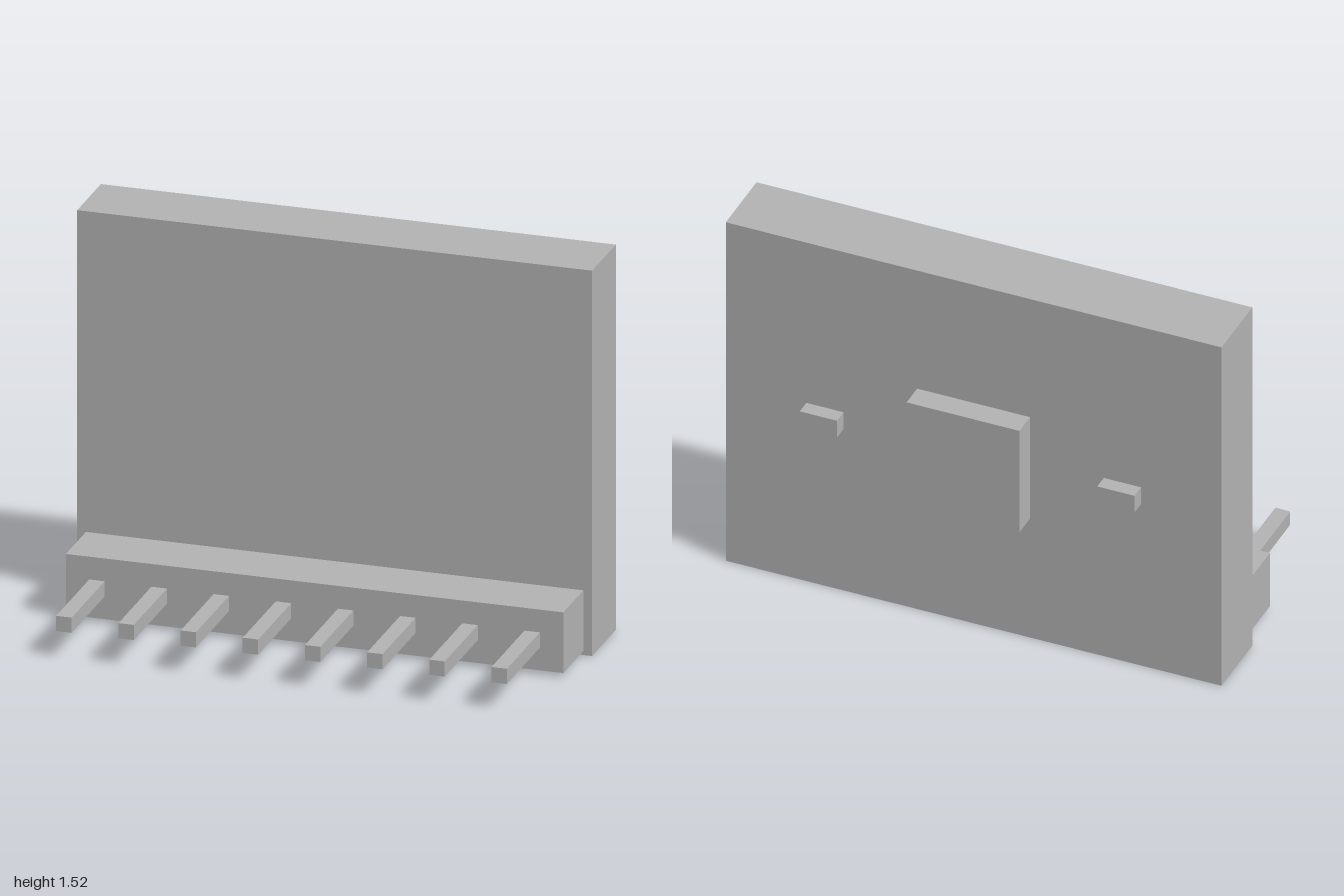
import * as THREE from 'three';

export function createModel() {
  const model = new THREE.Group();
  model.name = 'circuitModule';
  const grey = new THREE.MeshStandardMaterial({ color: 0xb2b2b2 });
  grey.name = 'plain grey';

  // Box from its lower and upper corners
  function block(name, [x0, y0, z0], [x1, y1, z1]) {
    const mesh = new THREE.Mesh(new THREE.BoxGeometry(x1 - x0, y1 - y0, z1 - z0), grey);
    mesh.position.set((x0 + x1) / 2, (y0 + y1) / 2, (z0 + z1) / 2);
    mesh.name = name;
    model.add(mesh);
  }

  const boardBack = -0.408, boardFront = -0.126, headerFront = 0.112;

  // Upright board and the pin header along its lower front edge
  block('board', [-1, 0, boardBack], [1, 1.525, boardFront]);
  block('pinHeader', [-0.966, 0.016, boardFront], [0.966, 0.256, headerFront]);

  // Row of eight square pins
  const pinCount = 8, pitch = 0.2415, half = 0.03;
  for (let i = 0; i < pinCount; i++) {
    const x = (i - (pinCount - 1) / 2) * pitch;
    block('pin' + (i + 1), [x - half, 0.106, headerFront], [x + half, 0.166, 0.505]);
  }

  // Chip on the back, with a small component on either side
  block('chip', [-0.228, 0.537, -0.505], [0.228, 0.993, boardBack]);
  for (const [name, x] of [['leftComponent', 0.6], ['rightComponent', -0.6]]) {
    block(name, [x - 0.075, 0.727, -0.468], [x + 0.075, 0.803, boardBack]);
  }
  return model;
}
